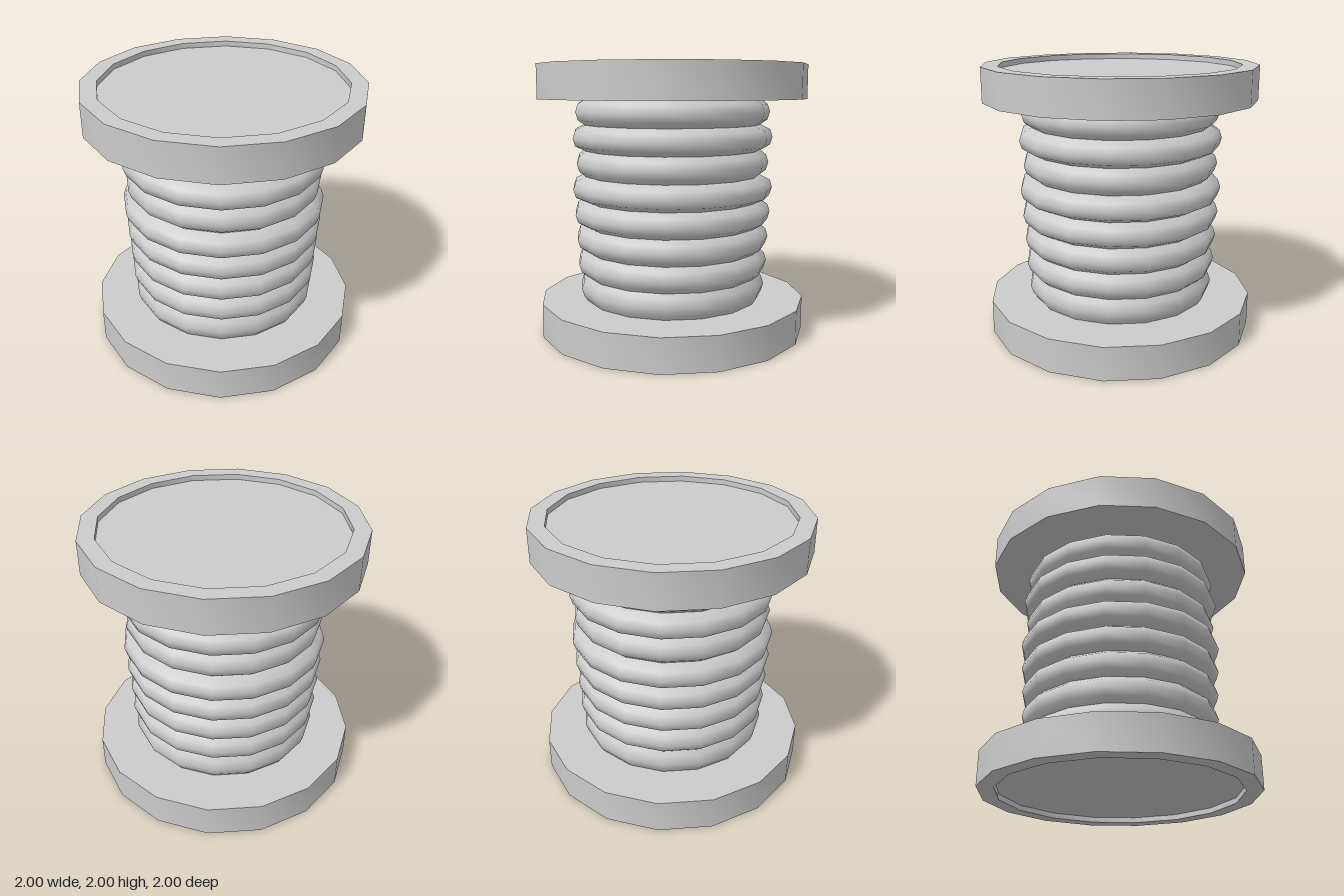
import * as THREE from 'three';
import { toCreasedNormals } from 'three/addons/utils/BufferGeometryUtils.js';

const SIDES = 16;
const material = new THREE.MeshStandardMaterial({ color: 0xcccccc });

// Revolves a profile of [radius, y] points listed from bottom to top
function lathe(name, profile, crease) {
  const points = profile.map(([r, y]) => new THREE.Vector2(r, y));
  const geometry = toCreasedNormals(new THREE.LatheGeometry(points, SIDES), crease);
  const mesh = new THREE.Mesh(geometry, material);
  mesh.name = name;
  return mesh;
}

export function createModel() {
  const group = new THREE.Group();
  group.name = 'spool';

  // End discs, each with a shallow recess in its outer face
  const disc = [[0, 0], [1, 0], [1, 0.25], [0.88, 0.25], [0.88, 0.21], [0, 0.21]];
  const topFlange = lathe('topFlange', disc, 0.5);
  topFlange.position.y = 1.75;
  const bottomFlange = lathe('bottomFlange', disc, 0.5);
  bottomFlange.rotation.x = Math.PI;
  bottomFlange.position.y = 0.25;
  group.add(topFlange, bottomFlange);

  // Wound coils, bottom to top, with slightly uneven bulges
  const bulges = [0.705, 0.722, 0.73, 0.742, 0.755, 0.725, 0.752, 0.73];
  const pitch = 1.5 / bulges.length;
  bulges.forEach((r, i) => {
    const coil = lathe(`coil${i + 1}`, [
      [0.66, -pitch / 2],
      [r - 0.018, -0.057],
      [r, 0],
      [r - 0.018, 0.057],
      [0.66, pitch / 2],
    ], 1.2);
    coil.position.y = 0.25 + pitch * (i + 0.5);
    group.add(coil);
  });

  return group;
}
